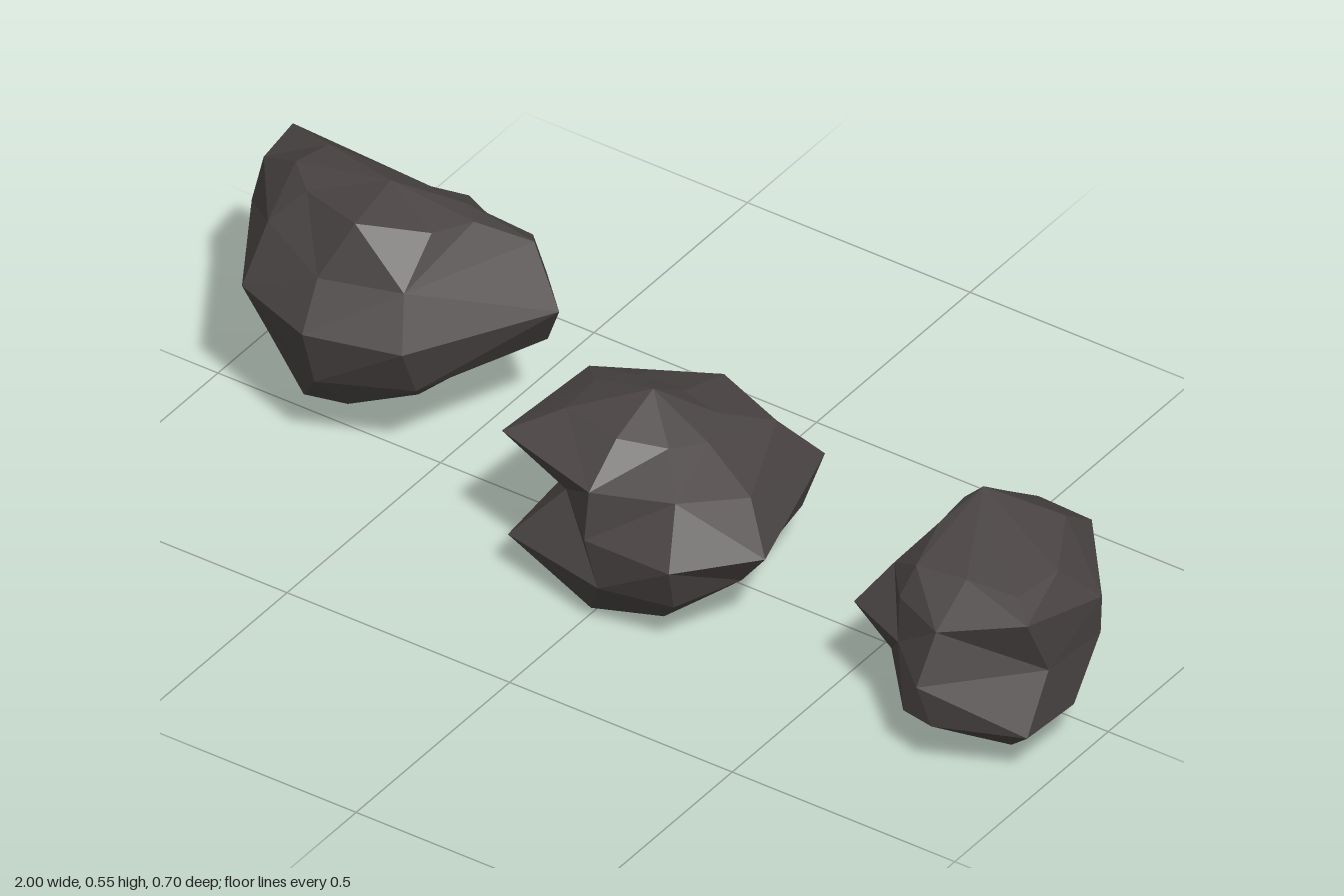
import * as THREE from 'three';

// Each rock: bottom point, five rings of eight corners (from +x round through +z), top point.
const longRock = [
  [[-0.7, 0.095, -0.05]],
  [[-0.5, 0.16, -0.1], [-0.55, 0.135, 0], [-0.66, 0.11, 0.07], [-0.75, 0.103, 0.083],
    [-0.86, 0.14, -0.04], [-0.88, 0.155, -0.17], [-0.7, 0.145, -0.17], [-0.55, 0.15, -0.16]],
  [[-0.39, 0.215, -0.19], [-0.5, 0.21, 0.08], [-0.68, 0.2, 0.15], [-0.85, 0.2, 0.06],
    [-0.97, 0.19, -0.1], [-0.96, 0.185, -0.205], [-0.68, 0.24, -0.23], [-0.47, 0.23, -0.21]],
  [[-0.33, 0.33, -0.14], [-0.49, 0.33, 0.14], [-0.68, 0.33, 0.19], [-0.86, 0.33, 0.125],
    [-1, 0.33, -0.11], [-0.92, 0.33, -0.2], [-0.68, 0.325, -0.355], [-0.42, 0.33, -0.23]],
  [[-0.4, 0.45, -0.16], [-0.52, 0.43, 0.09], [-0.68, 0.43, 0.14], [-0.85, 0.44, 0.055],
    [-0.98, 0.43, -0.12], [-0.98, 0.45, -0.215], [-0.68, 0.42, -0.23], [-0.43, 0.43, -0.2]],
  [[-0.48, 0.51, -0.08], [-0.52, 0.515, 0], [-0.63, 0.545, 0.09], [-0.79, 0.51, 0.015],
    [-0.86, 0.51, -0.05], [-0.84, 0.51, -0.13], [-0.68, 0.51, -0.13], [-0.52, 0.51, -0.12]],
  [[-0.65, 0.55, -0.055]],
];
const notchedRock = [
  [[0.03, 0, 0.09]],
  [[0.18, 0.03, 0.07], [0.14, 0.03, 0.2], [0, 0.013, 0.235], [-0.12, 0.035, 0.19],
    [-0.13, 0.025, 0.06], [-0.04, 0.04, 0.01], [0.05, 0.03, 0], [0.16, 0.04, -0.01]],
  [[0.28, 0.14, 0.15], [0.21, 0.12, 0.27], [0.06, 0.12, 0.3], [-0.19, 0.1, 0.23],
    [-0.195, 0.12, 0.03], [-0.07, 0.12, -0.075], [0.05, 0.12, -0.14], [0.23, 0.13, -0.12]],
  [[0.35, 0.23, 0.175], [0.23, 0.23, 0.315], [0.04, 0.23, 0.315], [-0.08, 0.23, 0.2],
    [-0.2, 0.23, 0.02], [-0.08, 0.23, -0.09], [0.04, 0.23, -0.16], [0.25, 0.23, -0.165]],
  [[0.28, 0.31, 0.12], [0.2, 0.34, 0.25], [0.04, 0.33, 0.3], [-0.2, 0.335, 0.235],
    [-0.18, 0.34, -0.02], [-0.07, 0.34, -0.08], [0.04, 0.34, -0.14], [0.2, 0.335, -0.08]],
  [[0.17, 0.38, 0.1], [0.13, 0.39, 0.17], [0.04, 0.4, 0.21], [-0.1, 0.39, 0.17],
    [-0.11, 0.385, 0.06], [-0.05, 0.39, 0.01], [0.05, 0.39, 0], [0.13, 0.385, 0.02]],
  [[0.04, 0.443, 0.09]],
];
const smallRock = [
  [[0.8, 0.045, 0.05]],
  [[0.93, 0.07, 0.1], [0.9, 0.03, 0.17], [0.83, 0.055, 0.22], [0.76, 0.065, 0.19],
    [0.7, 0.085, 0.1], [0.72, 0.075, 0.02], [0.77, 0.05, -0.04], [0.84, 0.06, -0.04]],
  [[0.985, 0.11, 0.09], [0.98, 0.115, 0.235], [0.82, 0.125, 0.315], [0.72, 0.09, 0.262],
    [0.63, 0.14, 0.17], [0.65, 0.14, 0.02], [0.75, 0.115, -0.145], [0.885, 0.11, -0.12]],
  [[0.99, 0.23, 0.01], [0.98, 0.23, 0.165], [0.81, 0.23, 0.35], [0.7, 0.23, 0.25],
    [0.56, 0.23, 0.19], [0.6, 0.23, 0.04], [0.745, 0.23, -0.155], [0.9, 0.23, -0.06]],
  [[1, 0.32, 0.02], [0.98, 0.37, 0.235], [0.82, 0.33, 0.3], [0.7, 0.33, 0.245],
    [0.63, 0.33, 0.16], [0.65, 0.34, 0], [0.75, 0.355, -0.135], [0.87, 0.35, -0.135]],
  [[0.95, 0.4, 0.09], [0.93, 0.39, 0.19], [0.83, 0.405, 0.215], [0.72, 0.395, 0.22],
    [0.69, 0.41, 0.1], [0.69, 0.42, 0.02], [0.74, 0.42, -0.04], [0.87, 0.41, -0.05]],
  [[0.72, 0.445, 0]],
];

const distance = (p, q) => Math.hypot(p[0] - q[0], p[1] - q[1], p[2] - q[2]);

// Skins the rings with flat facets, splitting each quad along its shorter diagonal.
function rockGeometry(rings) {
  const positions = [];
  for (let r = 0; r < rings.length - 1; r++) {
    const lower = rings[r], upper = rings[r + 1];
    for (let i = 0; i < 8; i++) {
      const a = lower[i % lower.length], b = lower[(i + 1) % lower.length];
      const c = upper[i % upper.length], d = upper[(i + 1) % upper.length];
      if (a === b) positions.push(...b, ...c, ...d);
      else if (c === d) positions.push(...a, ...c, ...b);
      else if (distance(a, d) < distance(b, c)) positions.push(...a, ...c, ...d, ...a, ...d, ...b);
      else positions.push(...a, ...c, ...b, ...b, ...c, ...d);
    }
  }
  const geometry = new THREE.BufferGeometry();
  geometry.setAttribute('position', new THREE.Float32BufferAttribute(positions, 3));
  geometry.computeVertexNormals();
  return geometry;
}

export function createModel() {
  const group = new THREE.Group();
  group.name = 'rocks';
  const stone = new THREE.MeshStandardMaterial({ color: 0x4a4544 });
  stone.name = 'dark stone';
  // Named by the model's own sides: its left is +x
  for (const [name, rings] of [['rightRock', longRock], ['middleRock', notchedRock], ['leftRock', smallRock]]) {
    const rock = new THREE.Mesh(rockGeometry(rings), stone);
    rock.name = name;
    group.add(rock);
  }
  return group;
}
